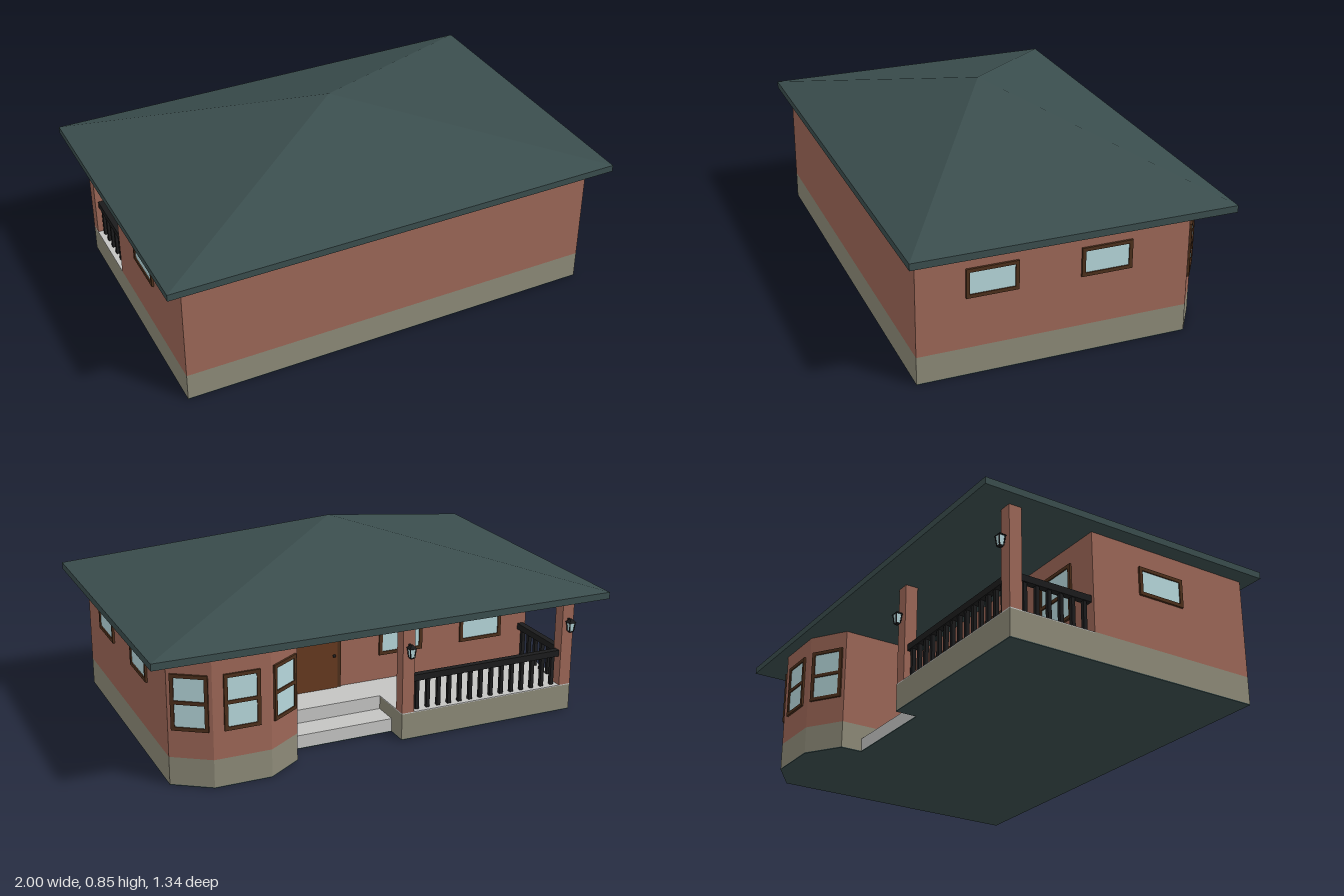
import * as THREE from 'three';

const mat = (name, color, extra = {}) => {
  const m = new THREE.MeshStandardMaterial({ color, ...extra });
  m.name = name;
  return m;
};

export function createModel() {
  const brick = mat('brick', 0x9b6656);
  const stone = mat('foundation stone', 0x8c8977);
  const slate = mat('roof slate', 0x3a4d4d);
  const concrete = mat('concrete', 0xc4c4c2);
  const glass = mat('glass', 0xb5d6da);
  const wood = mat('brown wood', 0x4c2f1b);
  const doorWood = mat('door wood', 0x65391f);
  const iron = mat('black iron', 0x1b1b1c);

  const house = new THREE.Group();
  house.name = 'house';
  const add = (name, geo, material, parent = house) => {
    const m = new THREE.Mesh(geo, material);
    m.name = name;
    parent.add(m);
    return m;
  };
  // box from its min and max along each axis
  const box = (name, material, x0, x1, y0, y1, z0, z1, parent) => {
    const g = new THREE.BoxGeometry(x1 - x0, y1 - y0, z1 - z0);
    g.translate((x0 + x1) / 2, (y0 + y1) / 2, (z0 + z1) / 2);
    return add(name, g, material, parent);
  };
  // upright prism over a footprint of [x, z] points
  const prism = (name, material, pts, y0, y1) => {
    const shape = new THREE.Shape(pts.map(([x, z]) => new THREE.Vector2(x, z)));
    const g = new THREE.ExtrudeGeometry(shape, { depth: y1 - y0, bevelEnabled: false });
    g.rotateX(Math.PI / 2).translate(0, y1, 0);
    return add(name, g, material);
  };

  const L = -0.93, R = 0.9, F = 0.62, B = -0.52, W = -0.14; // wall planes
  const inner = 0.36, porchEnd = -0.11, floor = 0.12, eave = 0.548;
  const bay = [[inner, B], [0.51, -0.62], [0.75, -0.62], [R, B]];

  // walls, foundation and ground plate
  const footprint = [[R, F], [L, F], [L, W], [inner, W], ...bay];
  prism('walls', brick, footprint, floor, eave);
  prism('foundation', stone, footprint, 0.004, floor);
  prism('groundPlate', slate,
    [[R, F], [L, F], [L, B], [porchEnd, B], [porchEnd, -0.425], [inner, -0.425], ...bay], 0, 0.004);

  // porch and steps
  box('porchBase', stone, L, porchEnd, 0.004, 0.116, B, W);
  box('porchFloor', concrete, L, porchEnd, 0.116, floor, B, W);
  box('lowerStep', concrete, porchEnd, inner, 0.004, 0.06, -0.425, W);
  box('upperStep', concrete, porchEnd, inner, 0.06, floor, -0.31, W);

  // hipped roof on an eave board
  box('eaveBoard', slate, -1, 1, eave, 0.577, -0.67, 0.67);
  const hip = new THREE.BufferGeometry();
  hip.setAttribute('position', new THREE.Float32BufferAttribute([
    -1, 0.577, 0.67, 1, 0.577, 0.67, 1, 0.577, -0.67, -1, 0.577, -0.67, -0.015, 0.85, 0.02], 3));
  hip.setIndex([0, 1, 4, 1, 2, 4, 2, 3, 4, 3, 0, 4]);
  const hipFlat = hip.toNonIndexed();
  hipFlat.computeVertexNormals();
  add('roof', hipFlat, slate);

  // framed window facing local +z, turned by angle about y
  const addWindow = (name, x, z, angle, w, y0, y1, panes) => {
    const g = new THREE.Group();
    g.name = name;
    const h = y1 - y0, t = 0.015;
    const rect = (T, a, b, c, d) => new T([[a, c], [b, c], [b, d], [a, d]]
      .map(([px, py]) => new THREE.Vector2(px, py)));
    const shape = rect(THREE.Shape, -w / 2, w / 2, 0, h);
    const paneH = (h - t * (panes + 1)) / panes;
    for (let i = 0; i < panes; i++) {
      const b = t + i * (paneH + t);
      shape.holes.push(rect(THREE.Path, -w / 2 + t, w / 2 - t, b, b + paneH));
    }
    add('windowFrame', new THREE.ExtrudeGeometry(shape, { depth: 0.009, bevelEnabled: false }), wood, g);
    box('windowGlass', glass, -w / 2 + 0.005, w / 2 - 0.005, 0.005, h - 0.005, 0, 0.004, g);
    g.position.set(x, y0, z);
    g.rotation.y = angle;
    house.add(g);
  };

  // side windows
  addWindow('sideWindow', R, 0.3125, Math.PI / 2, 0.215, 0.337, 0.46, 1);
  addWindow('sideWindow', R, -0.1625, Math.PI / 2, 0.215, 0.337, 0.46, 1);
  addWindow('sideWindow', L, 0.19, -Math.PI / 2, 0.215, 0.337, 0.46, 1);
  // porch windows
  for (const x of [-0.29, -0.69]) addWindow('porchWindow', x, W, Math.PI, 0.21, 0.235, 0.47, 2);
  // bay windows, one on each face
  for (let i = 0; i < 3; i++) {
    const [ax, az] = bay[i], [bx, bz] = bay[i + 1];
    const angle = Math.atan2(bz - az, -(bx - ax));
    addWindow('bayWindow', (ax + bx) / 2, (az + bz) / 2, angle, 0.15, 0.237, 0.47, 2);
  }

  // front door on the porch wall
  box('doorFrame', wood, 0.0, 0.23, floor, 0.47, W - 0.007, W);
  box('doorLeaf', doorWood, 0.018, 0.212, floor, 0.452, W - 0.011, W - 0.006);
  add('doorKnob', new THREE.SphereGeometry(0.007, 10, 8), iron).position.set(0.035, 0.27, W - 0.016);

  // brick posts, each with a lantern
  const p = 0.055;
  for (const x of [porchEnd - p, L]) {
    box('porchPost', brick, x, x + p, floor, eave, B, B + p);
    const lamp = new THREE.Group();
    lamp.name = 'lantern';
    const turned = (name, rTop, rBottom, h, y, material) => {
      const g = new THREE.CylinderGeometry(rTop, rBottom, h, 4, 1).toNonIndexed();
      g.computeVertexNormals();
      g.rotateY(Math.PI / 4).translate(0, y, 0);
      add(name, g, material, lamp);
    };
    turned('lanternCap', 0.004, 0.025, 0.016, 0.028, iron);
    turned('lanternGlass', 0.018, 0.012, 0.04, 0, glass);
    turned('lanternBase', 0.014, 0.01, 0.007, -0.022, iron);
    for (const sx of [-1, 1]) for (const sz of [-1, 1]) {
      const bar = box('lanternBar', iron, -0.002, 0.002, -0.02, 0.02, -0.002, 0.002, lamp);
      bar.position.set(sx * 0.011, 0, sz * 0.011);
      bar.rotation.set(sz * 0.1, 0, -sx * 0.1);
    }
    box('lanternArm', iron, -0.004, 0.004, 0.024, 0.032, 0, 0.025, lamp);
    lamp.position.set(x + p / 2, 0.395, B - 0.022);
    house.add(lamp);
  }

  // railings: a top rail on evenly spaced balusters
  const railing = (x0, z0, x1, z1, count) => {
    const g = new THREE.Group();
    g.name = 'railing';
    const len = Math.hypot(x1 - x0, z1 - z0);
    box('topRail', iron, 0, len, 0.25, 0.278, -0.014, 0.014, g);
    for (let i = 0; i < count; i++) {
      const s = (len * (i + 0.5)) / count;
      box('baluster', iron, s - 0.008, s + 0.008, floor, 0.25, -0.008, 0.008, g);
    }
    g.position.set(x0, 0, z0);
    g.rotation.y = Math.atan2(-(z1 - z0), x1 - x0);
    house.add(g);
  };
  railing(porchEnd - p, B + p / 2, L + p, B + p / 2, 14);
  railing(L + p / 2, B + p, L + p / 2, W, 6);

  return house;
}
